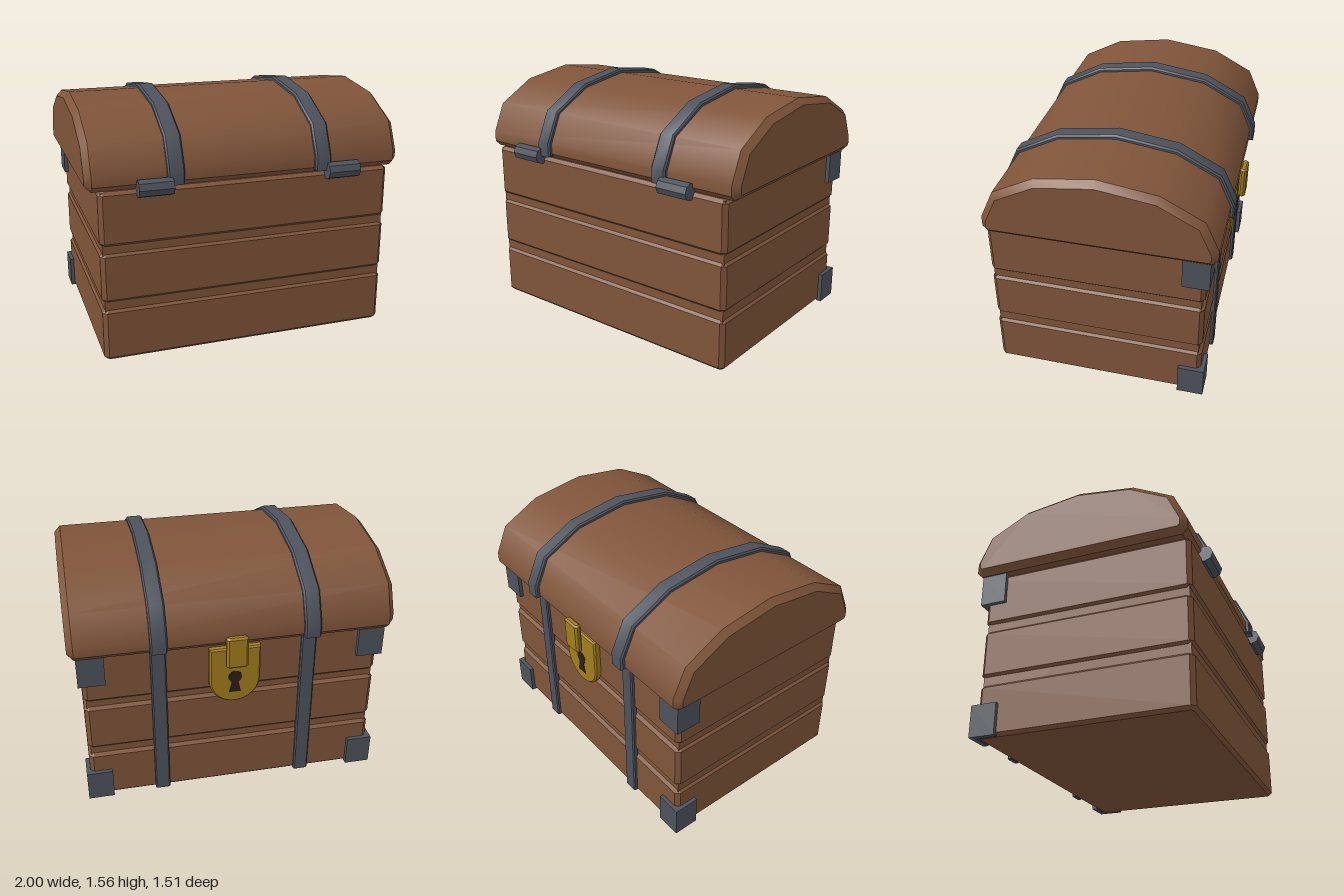
import * as THREE from 'three';
import { toCreasedNormals } from 'three/addons/utils/BufferGeometryUtils.js';

const material = (name, color) => {
  const m = new THREE.MeshStandardMaterial({ color });
  m.name = name;
  return m;
};

// Polygon shape from [x, y] pairs
const polygon = (pts) => new THREE.Shape(pts.map(([x, y]) => new THREE.Vector2(x, y)));

// Extrusion with a chamfer that stays inside the outline, centred on z
function slab(shape, depth, bevel, curveSegments = 12) {
  const g = new THREE.ExtrudeGeometry(shape, {
    depth: depth - 2 * bevel, bevelEnabled: bevel > 0, bevelSize: bevel, bevelThickness: bevel,
    bevelOffset: -bevel, bevelSegments: 1, curveSegments,
  });
  return g.translate(0, 0, bevel - depth / 2);
}

// Box with all edges chamfered
function chamferBox(w, h, d, c) {
  const x = w / 2, z = d / 2;
  const outline = polygon([
    [-x + c, -z], [x - c, -z], [x, -z + c], [x, z - c],
    [x - c, z], [-x + c, z], [-x, z - c], [-x, -z + c],
  ]);
  return slab(outline, h, c * 0.8).rotateX(-Math.PI / 2);
}

// Cross-section in [z, y] extruded along x
const alongX = (pts, width, bevel) =>
  toCreasedNormals(slab(polygon(pts.map(([z, y]) => [-z, y])), width, bevel).rotateY(Math.PI / 2), 0.7);

export function createModel() {
  const wood = material('wood', 0x80553a);
  const iron = material('iron', 0x4d535d);
  const brass = material('brass', 0xa37d1c);
  const dark = material('keyholeDark', 0x2a2018);

  const chest = new THREE.Group();
  chest.name = 'chest';
  const add = (name, geometry, mat, x = 0, y = 0, z = 0) => {
    const mesh = new THREE.Mesh(geometry, mat);
    mesh.name = name;
    mesh.position.set(x, y, z);
    chest.add(mesh);
    return mesh;
  };

  // Body: a core with three proud rows of planks
  add('bodyCore', new THREE.BoxGeometry(1.83, 1.05, 1.3), wood, 0, 0.54, 0.02);
  [[0, 0.335], [0.38, 0.695], [0.735, 1.072]].forEach(([y0, y1], i) =>
    add(`plankRow${i + 1}`, chamferBox(1.86, y1 - y0, 1.335, 0.026), wood, 0, (y0 + y1) / 2, 0.018));

  // Domed lid
  add('lid', alongX([
    [0.65, 1.07], [0.685, 1.105], [0.685, 1.17], [0.602, 1.352], [0.345, 1.485], [-0.015, 1.535],
    [-0.375, 1.485], [-0.632, 1.352], [-0.715, 1.17], [-0.715, 1.105], [-0.68, 1.07],
  ], 2, 0.038), wood);

  // Iron bands over the lid and down the lock side
  const bandProfile = [
    [0.71, 1.085], [0.71, 1.175], [0.62, 1.368], [0.352, 1.508], [-0.015, 1.56],
    [-0.382, 1.508], [-0.65, 1.368], [-0.74, 1.175], [-0.74, 1.085],
  ];
  for (const s of [-1, 1]) {
    const side = s > 0 ? 'left' : 'right';
    add(`${side}LidBand`, alongX(bandProfile, 0.104, 0.01), iron, s * 0.469);
    add(`${side}BodyBand`, chamferBox(0.095, 1.07, 0.04, 0.008), iron, s * 0.469, 0.537, -0.652);

    // Hinge barrel
    const hinge = new THREE.CylinderGeometry(0.054, 0.054, 0.21, 8).toNonIndexed();
    hinge.computeVertexNormals();
    add(`${side}Hinge`, hinge.rotateZ(Math.PI / 2), iron, s * 0.597, 1.083, 0.703);

    // L-shaped corner guards
    const guard = polygon([
      [0.955, 0.675], [0.79, 0.675], [0.79, 0.64], [0.92, 0.64], [0.92, 0.51], [0.955, 0.51],
    ].map(([x, z]) => [s * x, z]));
    for (const [label, y] of [['Lower', 0.1], ['Upper', 0.971]])
      add(`${side}${label}CornerGuard`, slab(guard, 0.2, 0).rotateX(-Math.PI / 2), iron, 0, y, 0);
  }

  // Lock plate with a rounded lower end
  const r = 0.16;
  const plate = new THREE.Shape();
  plate.moveTo(r, 1.04);
  plate.lineTo(-r, 1.04);
  plate.lineTo(-r, 0.81);
  plate.absarc(0, 0.81, r, Math.PI, Math.PI * 2, false);
  add('lockPlate', slab(plate, 0.05, 0.01), brass, 0, 0, -0.665);

  // Keyhole: round top over a flared slot
  const keyhole = new THREE.Shape();
  keyhole.absarc(0, 0.835, 0.042, -Math.PI * 0.33, Math.PI * 1.33, false);
  keyhole.lineTo(-0.037, 0.725);
  keyhole.lineTo(0.037, 0.725);
  add('keyhole', slab(keyhole, 0.006, 0), dark, 0, 0, -0.69);

  // Hasp hanging from the lid
  add('hasp', chamferBox(0.135, 0.21, 0.045, 0.014), brass, 0, 1.041, -0.734);

  return chest;
}
